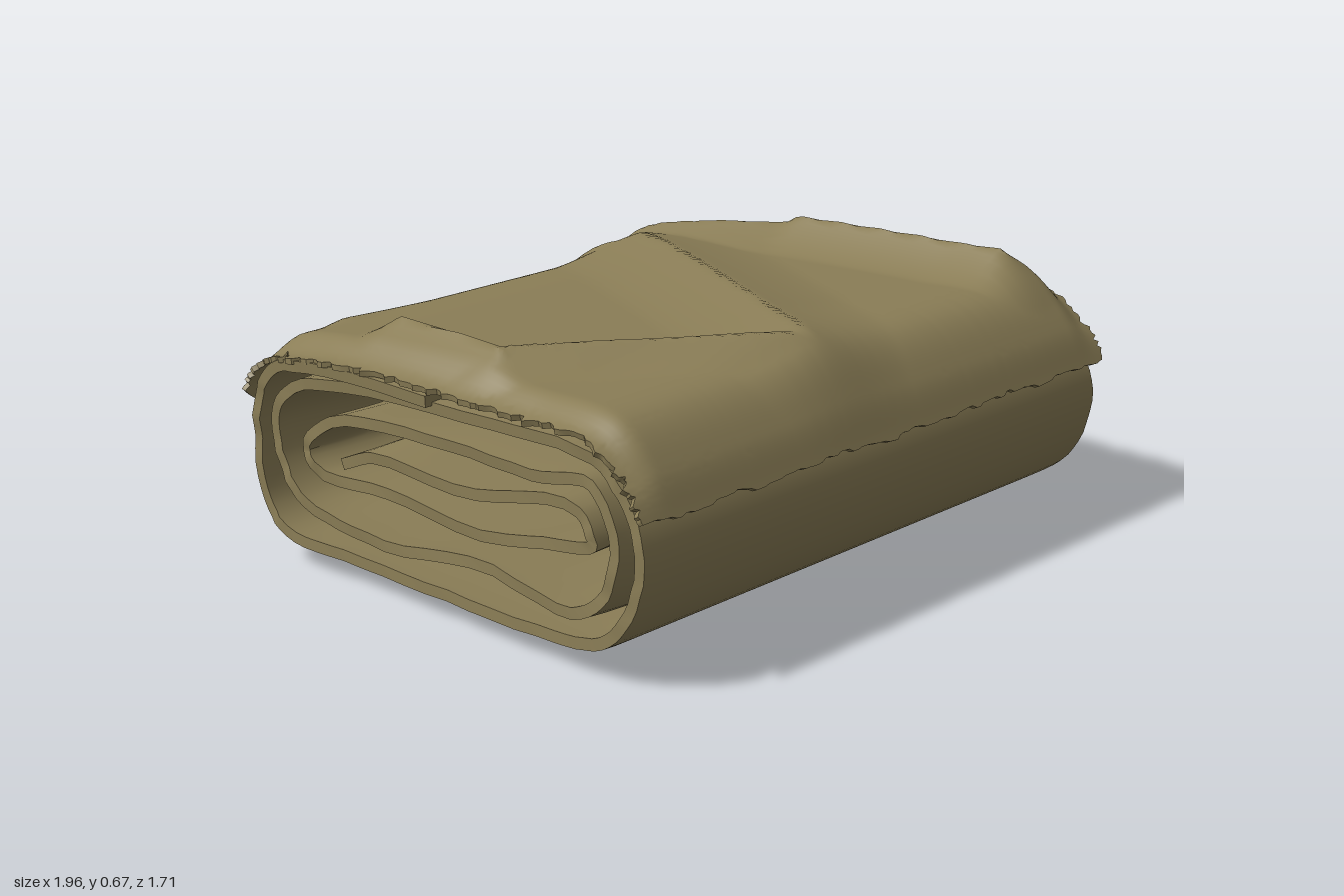
import * as THREE from 'three';
import { toCreasedNormals } from 'three/addons/utils/BufferGeometryUtils.js';

const clamp01 = (t) => Math.min(1, Math.max(0, t));
const smooth = (t, a, b) => THREE.MathUtils.smoothstep(t, a, b);
const bump = (t, centre, width) => Math.exp(-(((t - centre) / width) ** 2));

// Repeatable frayed-edge noise, about -1..1
const fray = (t) => {
  const hash = (i) => { const s = Math.sin(i * 127.1) * 43758.5; return 2 * (s - Math.floor(s)) - 1; };
  const f = t * 26, i = Math.floor(f);
  return 0.6 * THREE.MathUtils.lerp(hash(i), hash(i + 1), f - i) + 0.4 * hash(Math.floor(f * 1.7) + 50);
};

// Piecewise-linear lookup in [position, value] pairs
function lookup(table, t) {
  for (let i = 1; i < table.length; i++) {
    const [a, va] = table[i - 1], [b, vb] = table[i];
    if (t <= b) return va + (vb - va) * clamp01((t - a) / (b - a));
  }
  return table[table.length - 1][1];
}

// Smooth curve through [x, y] points
const curve = (pts) => new THREE.CatmullRomCurve3(pts.map(([x, y]) => new THREE.Vector3(x, y, 0)), false, 'centripetal');

// Thick cloth sheet: a grid of points, its offset underside and a closed rim
function clothSheet(nu, nv, thickness, point) {
  const pos = [], index = [], id = (i, j) => i * (nv + 1) + j;
  for (let i = 0; i <= nu; i++)
    for (let j = 0; j <= nv; j++) pos.push(...point(i / nu, j / nv));
  for (let i = 0; i < nu; i++)
    for (let j = 0; j < nv; j++) {
      const a = id(i, j), b = id(i + 1, j), c = id(i + 1, j + 1), d = id(i, j + 1);
      index.push(a, b, c, a, c, d);
    }
  const top = new THREE.BufferGeometry();
  top.setAttribute('position', new THREE.Float32BufferAttribute(pos, 3));
  top.setIndex(index);
  top.computeVertexNormals();
  const n = top.attributes.normal.array, count = pos.length / 3;
  const all = pos.concat(pos.map((p, k) => p - n[k] * thickness));
  const faces = index.slice();
  for (let k = 0; k < index.length; k += 3)
    faces.push(index[k] + count, index[k + 2] + count, index[k + 1] + count);
  const rim = (p, q) => faces.push(p, p + count, q + count, p, q + count, q);
  for (let i = 0; i < nu; i++) {
    rim(id(i, 0), id(i + 1, 0));
    rim(id(i + 1, nv), id(i, nv));
  }
  for (let j = 0; j < nv; j++) {
    rim(id(nu, j), id(nu, j + 1));
    rim(id(0, j + 1), id(0, j));
  }
  const geometry = new THREE.BufferGeometry();
  geometry.setAttribute('position', new THREE.Float32BufferAttribute(all, 3));
  geometry.setIndex(faces);
  return toCreasedNormals(geometry, 0.6);
}

// Folds on the top of the cover: x0, z0, x1, z1, height, width
const FOLDS = [
  [-0.15, -0.34, 0.8, 0.12, 0.05, 0.26],
  [0.8, 0.15, 0.42, 0.68, 0.05, 0.14],
  [0.42, 0.7, 0.05, 0.68, 0.05, 0.1],
  [-0.34, -0.38, 0.15, -0.62, 0.055, 0.15],
  [0.15, -0.62, 0.75, -0.69, 0.075, 0.15],
  [-0.34, -0.2, -0.12, -0.34, 0.035, 0.09],
  [-0.35, 0.25, -0.27, 0.6, 0.02, 0.1],
];
function foldHeight(x, z) {
  let h = 0;
  for (const [x0, z0, x1, z1, height, width] of FOLDS) {
    const dx = x1 - x0, dz = z1 - z0;
    const t = clamp01(((x - x0) * dx + (z - z0) * dz) / (dx * dx + dz * dz));
    const d = Math.hypot(x - x0 - t * dx, z - z0 - t * dz);
    h = Math.max(h, height * clamp01(1 - d / width) ** 1.4);
  }
  return h;
}

// Spiral section of the roll, from the outer layer to the core
const ROLL = curve([
  [0.3, 0.54], [-0.1, 0.535], [-0.22, 0.51], [-0.29, 0.43], [-0.31, 0.3], [-0.28, 0.14], [-0.2, 0.07],
  [0, 0.057], [0.35, 0.053], [0.7, 0.06], [0.84, 0.085], [0.93, 0.18], [0.965, 0.33], [0.92, 0.44],
  [0.81, 0.525], [0.5, 0.53], [0, 0.5], [-0.17, 0.46], [-0.25, 0.37], [-0.24, 0.24], [-0.16, 0.14],
  [0.05, 0.125], [0.4, 0.135], [0.74, 0.135], [0.85, 0.2], [0.885, 0.32], [0.8, 0.46], [0.6, 0.45],
  [0.25, 0.42], [-0.08, 0.41], [-0.17, 0.32], [-0.09, 0.235], [0.2, 0.225], [0.6, 0.24], [0.8, 0.28],
  [0.74, 0.365], [0.4, 0.345], [0.05, 0.33], [-0.05, 0.285],
]);

// Section of the cover, from the hem on the left side to the loose tail
const COVER_POINTS = [
  [0.985, 0.395], [0.93, 0.5], [0.83, 0.59], [0.6, 0.6], [0.4, 0.6], [0.15, 0.595], [-0.1, 0.58],
  [-0.25, 0.545], [-0.325, 0.46], [-0.355, 0.33], [-0.385, 0.17], [-0.45, 0.05], [-0.6, 0.03],
  [-0.8, 0.03], [-1.0, 0.025],
];
const COVER = curve(COVER_POINTS);
// Where the tail ends along the section, by z
const TAIL_END = [
  [-0.83, 12.2], [-0.6, 12.4], [-0.4, 12.8], [-0.2, 13.15], [0, 13.6], [0.15, 13.9], [0.25, 13.4],
  [0.35, 12.75], [0.45, 12], [0.58, 11.1], [0.68, 9.6], [0.83, 8.3],
];

function rollPoint(u, v) {
  const p = ROLL.getPoint(u), side = v * 2 - 1;
  const reach = 0.83 - 0.05 * u + 0.022 * bump(p.x, -0.2, 0.25) + 0.008 * fray(u * 4 + Math.sign(side));
  const z = side * reach;
  // Inner layers ripple, the outer layer stays taut
  const ripple = 0.014 * smooth(u, 0.35, 0.55);
  return [
    p.x + ripple * Math.sin(z * 5 + u * 30),
    p.y + ripple * Math.sin(p.x * 9 + z * 4 + u * 12) + 0.012 * smooth(Math.abs(side), 0.93, 1) * (0.3 - p.y),
    z,
  ];
}

function coverPoint(u, v) {
  const side = v * 2 - 1, z0 = side * 0.83;
  const start = 0.12 + 0.1 * fray(z0 * 0.7);
  const end = Math.min(14, lookup(TAIL_END, z0) + 0.17 * fray(z0 + 3));
  const t = start + (end - start) * u;
  const p = COVER.getPoint(t / (COVER_POINTS.length - 1));
  const top = smooth(p.y, 0.4, 0.58), tail = smooth(t, 10, 11.5);
  const wall = smooth(t, 7, 8.5) * (1 - tail);
  // Frayed sides, narrower tail
  const edge = smooth(Math.abs(side), 0.95, 1);
  const width = 1 - 0.06 * tail + 0.02 * bump(p.x, -0.2, 0.2) + 0.02 * edge * fray(t * 0.4 + side * 5);
  const z = z0 * width;
  const lift = top * (foldHeight(p.x, z) - 0.04 * smooth(Math.abs(z), 0.74, 0.83));
  const gather = wall * (0.02 * bump(z, -0.36, 0.08) - 0.025 * bump(z, 0.05, 0.3) - 0.015 * bump(z, -0.6, 0.15));
  const wave = tail * (0.012 * bump(z, -0.2, 0.25) - 0.008 * bump(z, -0.6, 0.2) - 0.008 * bump(z, 0.5, 0.2));
  return [p.x + gather, p.y + lift + wave, z];
}

export function createModel() {
  const model = new THREE.Group();
  model.name = 'rolledBlanket';
  const cloth = new THREE.MeshStandardMaterial({ color: 0x8a7d56, side: THREE.DoubleSide });
  cloth.name = 'oliveCloth';

  const add = (name, geometry) => {
    const mesh = new THREE.Mesh(geometry, cloth);
    mesh.name = name;
    model.add(mesh);
  };
  add('foldedRoll', clothSheet(190, 40, 0.028, rollPoint));
  add('drapedCover', clothSheet(130, 120, 0.014, coverPoint));
  return model;
}
